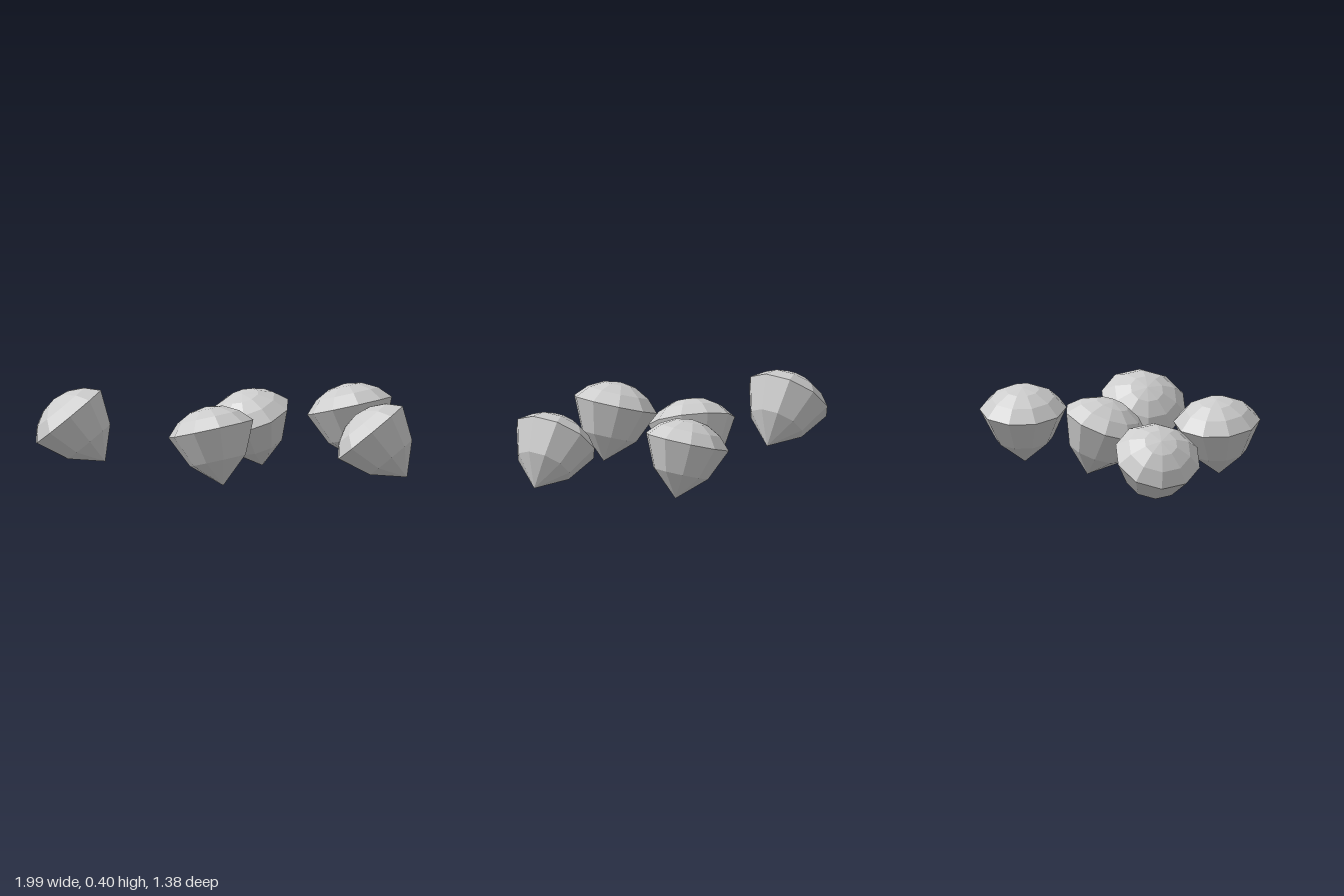
import * as THREE from 'three';

const SIDES = 10;
const RADIUS = 0.22, DEPTH = 0.293; // rim radius, tip-to-rim depth
const CAP_R = 0.268; // sphere radius of the domed crown

const material = new THREE.MeshStandardMaterial({ color: 0xcccccc, flatShading: true });

function lathe(points) {
  return new THREE.LatheGeometry(points.map(([r, y]) => new THREE.Vector2(r, y)), SIDES);
}

// Faceted point below the rim (rim lies at y = 0)
const pointGeometry = lathe([[0, -DEPTH], [0.145, -0.163], [RADIUS, 0]]);

// Shallow dome: a spherical cap in three bands
const rimAngle = Math.asin(RADIUS / CAP_R);
const dome = [];
for (let i = 3; i >= 0; i--) {
  const a = (rimAngle * i) / 3;
  dome.push([CAP_R * Math.sin(a), CAP_R * (Math.cos(a) - Math.cos(rimAngle))]);
}
const domeGeometry = lathe(dome);

// Gem placed by its rim centre, leaning so that its tip points along tipDir
function makeGem(name, centre, tipDir, turn) {
  const gem = new THREE.Group();
  gem.name = name;
  const point = new THREE.Mesh(pointGeometry, material);
  point.name = 'gemPoint';
  const crown = new THREE.Mesh(domeGeometry, material);
  crown.name = 'gemCrown';
  gem.add(point, crown);

  const up = new THREE.Vector3(0, 1, 0);
  const axis = new THREE.Vector3(...tipDir).negate().normalize();
  const spin = new THREE.Quaternion().setFromAxisAngle(up, THREE.MathUtils.degToRad(turn));
  gem.quaternion.setFromUnitVectors(up, axis).multiply(spin);
  gem.position.set(...centre);
  return gem;
}

export function createModel() {
  const model = new THREE.Group();
  model.name = 'scatteredGems';

  const upright = [0.07, -0.284, 0.016]; // slight lean
  const toppled = [0.185, -0.225, -0.031]; // strong lean
  model.add(
    makeGem('frontGem', [0.035, 0.285, 0.47], upright, 30),
    makeGem('backGem', [0.477, 0.285, -0.475], upright, 30),
    makeGem('middleGem', [0.057, 0.281, -0.09], [0.05, -0.272, -0.09], 13.5),
    makeGem('leftGem', [0.78, 0.255, 0.16], toppled, 22),
    makeGem('rightGem', [-0.83, 0.255, 0.1], toppled, 22),
  );
  return model;
}
